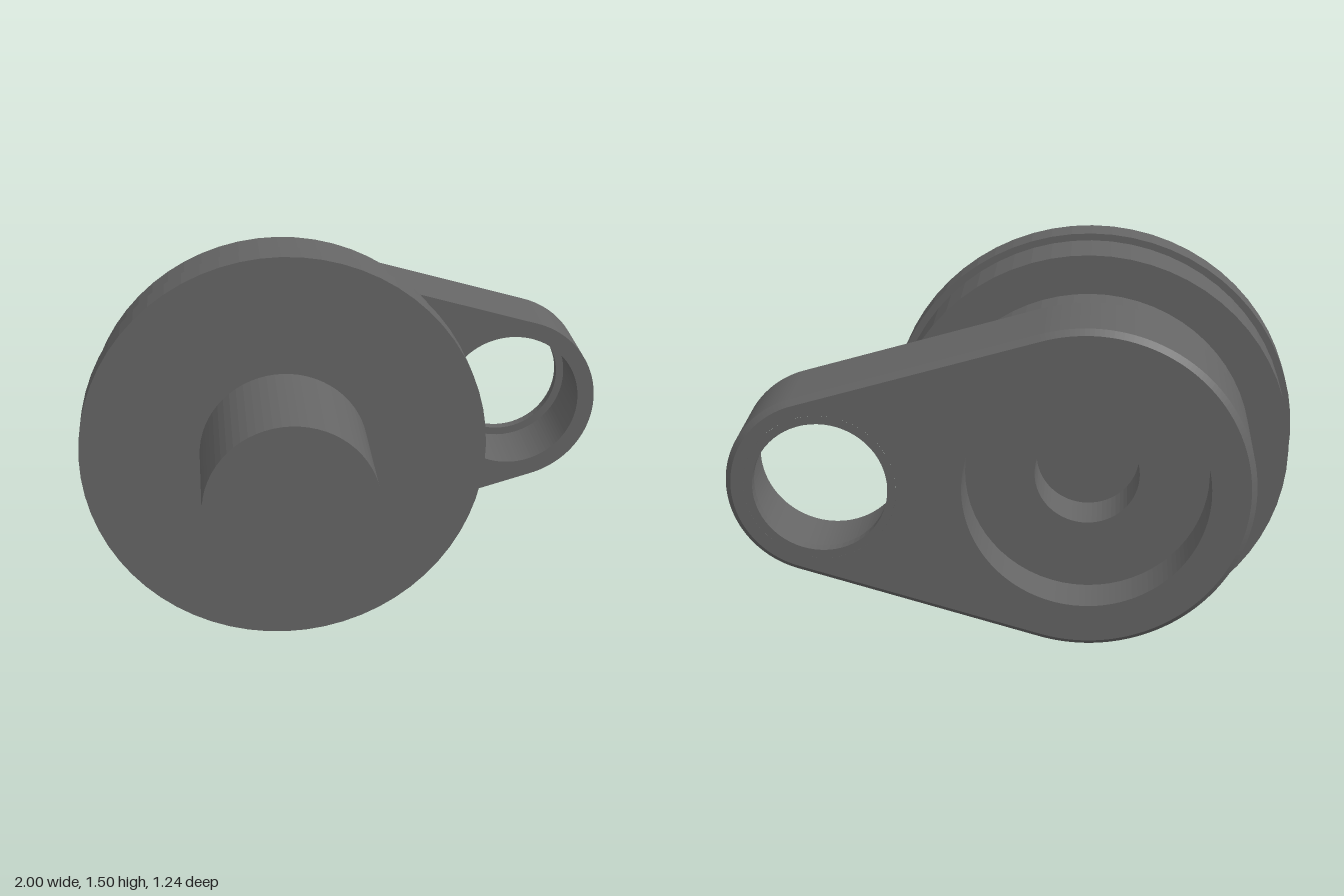
import * as THREE from 'three';

const material = new THREE.MeshStandardMaterial({ color: 0x656565, flatShading: true });
const HUB = { x: -0.25, r: 0.585 };
const EYE = { x: 0.67, r: 0.33 };
const AXIS_Y = 0.75;
const SEGMENTS = 64;

// Turned part about the z axis; profile is [radius, z], wound so the outside faces out
function turned(name, x, profile) {
  const geometry = new THREE.LatheGeometry(profile.map(([r, z]) => new THREE.Vector2(r, z)), SEGMENTS);
  geometry.rotateX(Math.PI / 2);
  const mesh = new THREE.Mesh(geometry, material);
  mesh.name = name;
  mesh.position.set(x, AXIS_Y, 0);
  return mesh;
}

const disc = (name, r, back, front) =>
  turned(name, HUB.x, [[0, back], [r, back], [r, front], [0, front]]);

function circleHole(x, r) {
  return new THREE.Path().absarc(x, 0, r, 0, Math.PI * 2, true);
}

// Teardrop plate joining hub and eye, with a chamfer around its back edge
function armPlate() {
  const thickness = 0.32, chamfer = 0.02;
  const a = Math.acos((HUB.r - EYE.r) / (EYE.x - HUB.x));
  const shape = new THREE.Shape();
  shape.absarc(HUB.x, 0, HUB.r, a, Math.PI * 2 - a, false);
  shape.absarc(EYE.x, 0, EYE.r, -a, a, false);
  shape.holes.push(circleHole(HUB.x, 0.43), circleHole(EYE.x, 0.265));
  const geometry = new THREE.ExtrudeGeometry(shape, {
    depth: thickness, steps: 2, bevelEnabled: false, curveSegments: SEGMENTS,
  });

  const p = geometry.attributes.position;
  for (let i = 0; i < p.count; i++) {
    const x = p.getX(i), y = p.getY(i), z = p.getZ(i);
    if (z < 0.01) {
      // pull the back outline inwards
      for (const c of [HUB, EYE]) {
        if (Math.abs(Math.hypot(x - c.x, y) - c.r) < 1e-3) {
          const s = (c.r - chamfer) / c.r;
          p.setXY(i, c.x + (x - c.x) * s, y * s);
        }
      }
    } else if (z < thickness - 0.01) {
      p.setZ(i, chamfer); // middle layer marks the start of the chamfer
    }
  }
  geometry.computeVertexNormals();
  const mesh = new THREE.Mesh(geometry, material);
  mesh.name = 'armPlate';
  mesh.position.set(0, AXIS_Y, -0.62);
  return mesh;
}

export function createModel() {
  const group = new THREE.Group();
  group.name = 'crankHub';

  group.add(
    disc('shaft', 0.31, 0.13, 0.62),
    disc('flange', 0.75, 0.01, 0.13),
    disc('shoulder', 0.725, -0.197, 0.01),
    armPlate(),
    // Hub core: blind centre hole and recess floor inside the plate's pocket
    turned('hubCore', HUB.x, [
      [0, -0.27], [0.185, -0.27], [0.185, -0.45], [0.43, -0.45],
      [0.43, -0.3], [HUB.r, -0.3], [HUB.r, -0.197],
    ]),
    // Retaining lip at the back of the eye, flush with the plate
    turned('eyeLip', EYE.x, [
      [0.265, -0.58], [0.235, -0.58], [0.235, -0.62], [0.265, -0.62],
    ]),
  );
  return group;
}
